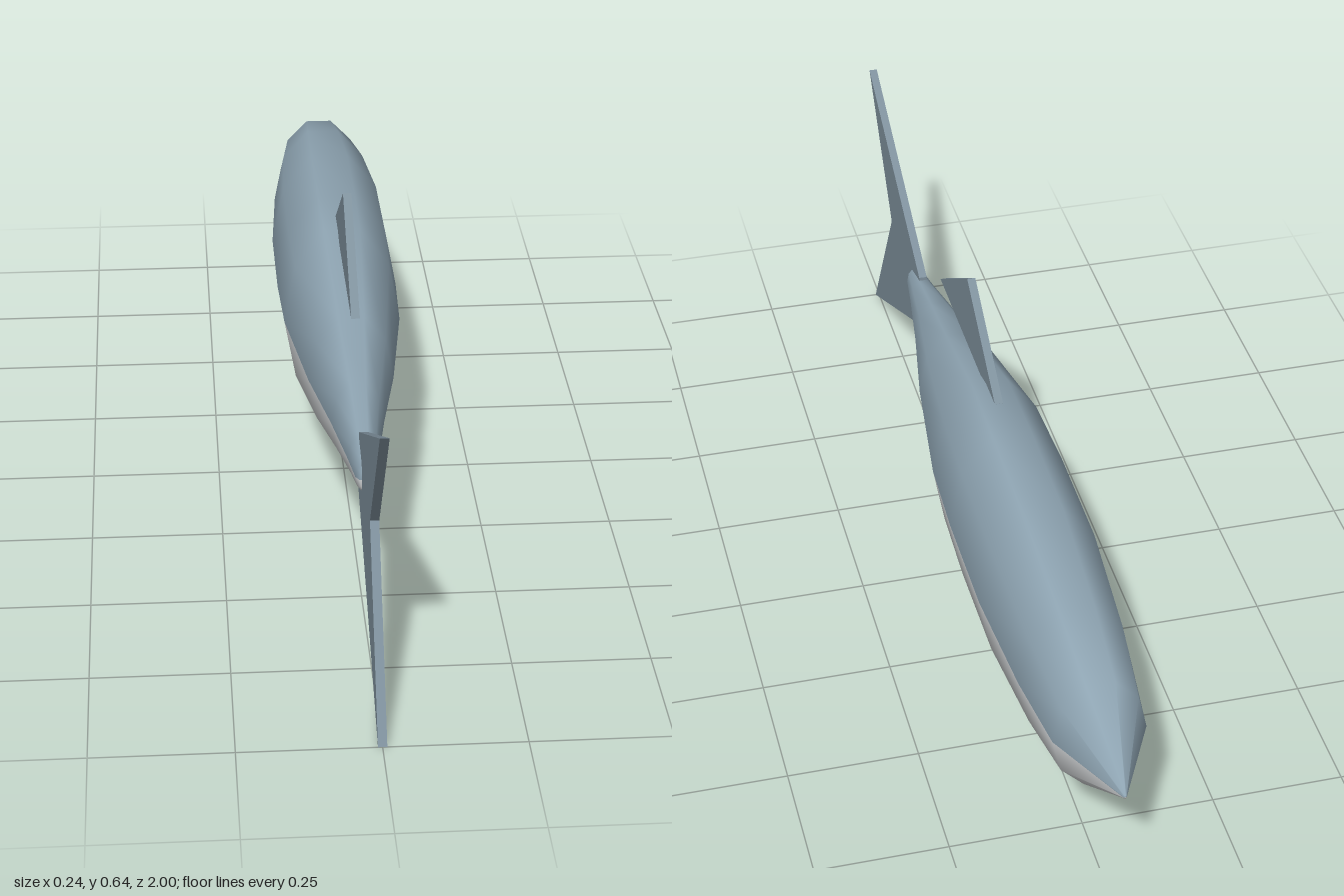
import * as THREE from 'three';

const SIDES = 10;
const AXIS_Y = 0.307;

// Body stations from snout to tail: z, half width, half height
const STATIONS = [
  [-1, 0.003, 0.003], [-0.84, 0.085, 0.12], [-0.68, 0.105, 0.161], [-0.45, 0.12, 0.199],
  [-0.22, 0.12, 0.206], [-0.05, 0.114, 0.204], [0.21, 0.081, 0.136],
  [0.39, 0.049, 0.087], [0.53, 0.028, 0.048], [0.6, 0.019, 0.032], [0.612, 0.012, 0.022],
];

function material(color) {
  return new THREE.MeshStandardMaterial({ color });
}

// Lofts ten-sided rings along z; returns back and belly halves sharing smooth normals
function bodyHalves() {
  const points = [];
  const back = [], belly = [];
  for (const [z, w, h] of STATIONS) {
    for (let i = 0; i < SIDES; i++) {
      const a = (i / SIDES) * Math.PI * 2;
      points.push(w * Math.cos(a), AXIS_Y + h * Math.sin(a), z);
    }
  }
  const last = STATIONS.length - 1;
  const snout = points.length / 3, tail = snout + 1;
  points.push(0, AXIS_Y, STATIONS[0][0], 0, AXIS_Y, STATIONS[last][0]);

  for (let i = 0; i < SIDES; i++) {
    const half = i < SIDES / 2 ? back : belly;
    const j = (i + 1) % SIDES;
    for (let s = 0; s < last; s++) {
      const a = s * SIDES + i, b = s * SIDES + j;
      half.push(a, b, a + SIDES, b, b + SIDES, a + SIDES);
    }
    half.push(snout, j, i, tail, last * SIDES + i, last * SIDES + j);
  }

  const whole = new THREE.BufferGeometry();
  whole.setAttribute('position', new THREE.Float32BufferAttribute(points, 3));
  whole.setIndex([...back, ...belly]);
  whole.computeVertexNormals();
  return [back, belly].map((index) => whole.clone().setIndex(index));
}

// Flat fin from [z, y] outline points, extruded across x
function fin(name, outline, mat) {
  const depth = 0.016;
  const shape = new THREE.Shape(outline.map(([z, y]) => new THREE.Vector2(-z, y)));
  const geometry = new THREE.ExtrudeGeometry(shape, { depth, bevelEnabled: false });
  geometry.translate(0, 0, -depth / 2).rotateY(Math.PI / 2);
  const mesh = new THREE.Mesh(geometry, mat);
  mesh.name = name;
  return mesh;
}

export function createModel() {
  const group = new THREE.Group();
  group.name = 'fish';

  // Two-tone body
  const [backGeometry, bellyGeometry] = bodyHalves();
  const back = new THREE.Mesh(backGeometry, material(0x8fa5b3));
  back.name = 'back';
  const belly = new THREE.Mesh(bellyGeometry, material(0xd5d8da));
  belly.name = 'belly';
  group.add(back, belly);

  // Fins
  const finMaterial = material(0x7f919d);
  group.add(
    fin('dorsalFin', [[0.33, 0.49], [0.1, 0.643], [-0.12, 0.502], [-0.12, 0.49]], finMaterial),
    fin('tailFin', [[0.53, 0.36], [1, 0.593], [0.8, 0.33], [1, 0.002], [0.53, 0.24]], finMaterial),
  );
  return group;
}
